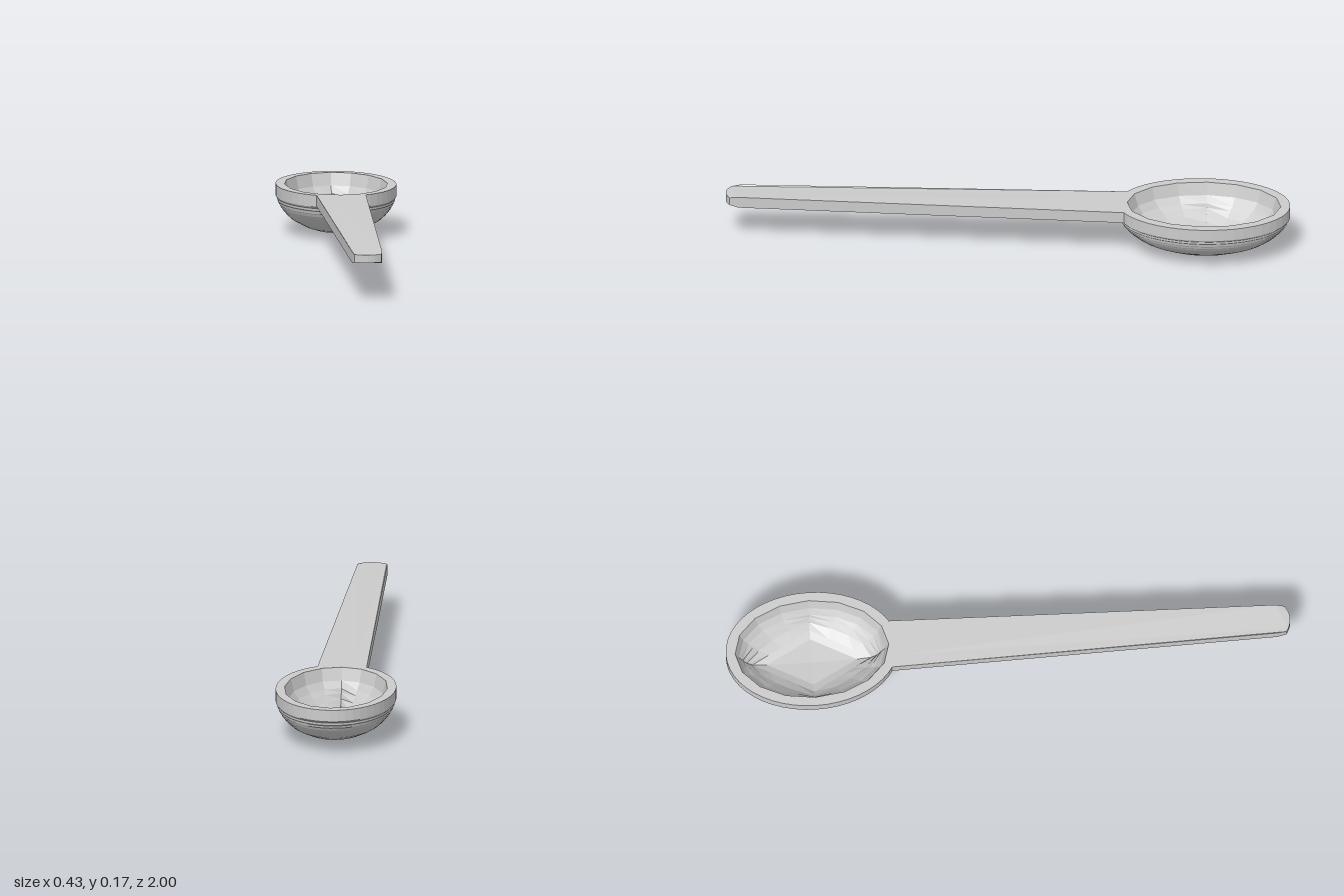
import * as THREE from 'three';

const TOP = 0.17, CZ = -0.695;   // rim height, bowl centre
const RX = 0.213, RZ = 0.305;    // bowl half width and half length
const IN_X = 0.182, IN_Z = 0.272; // bowl opening
const SIDES = 48, IN_SIDES = 16;

const material = () => new THREE.MeshStandardMaterial({ color: 0xcccccc, flatShading: true });

function part(name, geometry) {
  const mesh = new THREE.Mesh(geometry, material());
  mesh.name = name;
  return mesh;
}

function ellipse(rx, rz, n) {
  return Array.from({ length: n }, (_, i) => {
    const a = (i / n) * Math.PI * 2;
    return new THREE.Vector2(Math.sin(a) * rx, Math.cos(a) * rz);
  });
}

// Outside of the bowl: rounded belly, a fine stepped zone, then an upright band
function bowlOutside() {
  const profile = [];
  const radius = (y) => RX * Math.sqrt(Math.max(0, 1 - ((0.15 - y) / 0.15) ** 2));
  for (const y of [0, 0.003, 0.01, 0.022, 0.04]) profile.push(new THREE.Vector2(radius(y), y));
  for (let y = 0.052; y < 0.125; y += 0.012) {
    profile.push(new THREE.Vector2(radius(y) - 0.002, y - 0.003), new THREE.Vector2(radius(y) + 0.001, y));
  }
  profile.push(new THREE.Vector2(RX, 0.128), new THREE.Vector2(RX, TOP));
  return new THREE.LatheGeometry(profile, SIDES).scale(1, 1, RZ / RX).translate(0, 0, CZ);
}

// Flat ring between the outer edge and the coarser opening
function rim() {
  const shape = new THREE.Shape(ellipse(RX, RZ, SIDES));
  shape.holes.push(new THREE.Path(ellipse(IN_X, IN_Z, IN_SIDES)));
  // mirror-symmetric outline, so turning it face up keeps it in place
  return new THREE.ShapeGeometry(shape).rotateX(-Math.PI / 2).translate(0, TOP, CZ);
}

// Inside of the bowl: oval rings that change to a diamond at the bottom
function bowlInside() {
  // half width, half length, height, share of diamond
  const rings = [
    [IN_X, IN_Z, TOP, 0], [0.17, 0.258, 0.125, 0], [0.155, 0.245, 0.1, 0.1], [0.15, 0.24, 0.085, 0.35],
    [0.138, 0.23, 0.065, 0.6], [0.115, 0.21, 0.045, 1], [0.085, 0.16, 0.035, 1], [0, 0, 0.03, 1],
  ];
  const positions = [], index = [];
  rings.forEach(([rx, rz, y, mix], r) => {
    for (let i = 0; i < IN_SIDES; i++) {
      const a = (i / IN_SIDES) * Math.PI * 2, s = Math.sin(a), c = Math.cos(a);
      const k = 1 - mix + mix / (Math.abs(s) + Math.abs(c));
      positions.push(s * rx * k, y, CZ + c * rz * k);
      if (r === 0) continue;
      const j = (i + 1) % IN_SIDES, up = (r - 1) * IN_SIDES, low = r * IN_SIDES;
      index.push(up + i, up + j, low + i);
      if (rx > 0) index.push(up + j, low + j, low + i);
    }
  });
  const g = new THREE.BufferGeometry();
  g.setAttribute('position', new THREE.Float32BufferAttribute(positions, 3));
  g.setIndex(index);
  g.computeVertexNormals();
  return g;
}

// Tapered bar whose root follows the bowl and whose tip is slightly rounded
function handle() {
  const shape = new THREE.Shape();
  shape.moveTo(-0.087, -0.417);
  shape.quadraticCurveTo(0, -0.366, 0.087, -0.417);
  shape.lineTo(0.053, 0.95);
  shape.lineTo(0.048, 0.982);
  shape.quadraticCurveTo(0, 1.015, -0.048, 0.982);
  shape.lineTo(-0.053, 0.95);
  shape.closePath();
  const g = new THREE.ExtrudeGeometry(shape, { depth: 0.04, bevelEnabled: false, curveSegments: 8 });
  g.rotateX(Math.PI / 2).translate(0, TOP, 0);
  // thin the bar a little at the tip
  const p = g.attributes.position;
  for (let i = 0; i < p.count; i++) {
    if (p.getZ(i) > 0.96) p.setY(i, 0.151 + (p.getY(i) - 0.15) * 0.7);
  }
  g.computeVertexNormals();
  return g;
}

export function createModel() {
  const group = new THREE.Group();
  group.name = 'spoon';
  group.add(
    part('bowlOutside', bowlOutside()),
    part('bowlRim', rim()),
    part('bowlInside', bowlInside()),
    part('handle', handle()),
  );
  return group;
}
